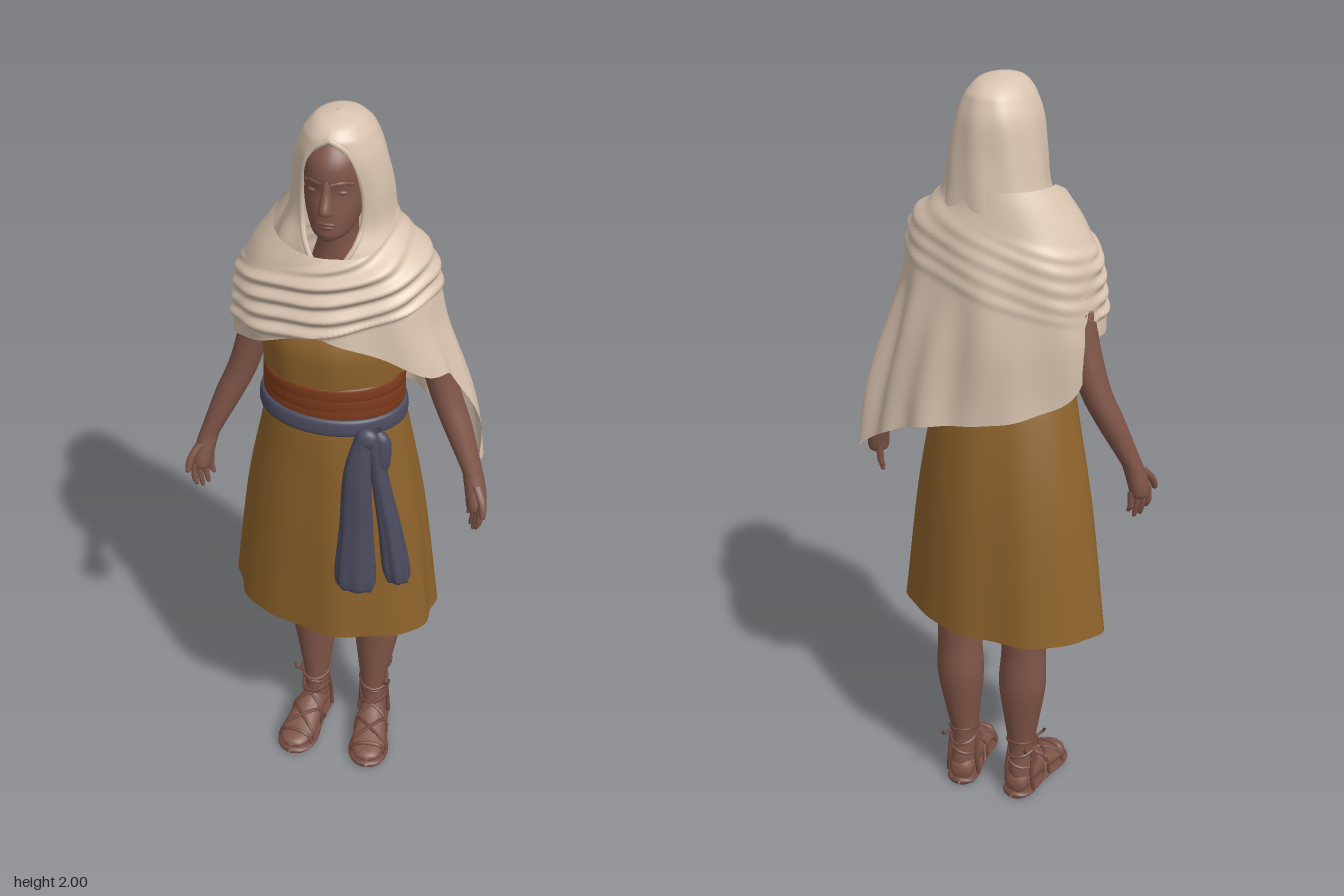
import * as THREE from 'three';

const mat = (name, color, side = THREE.FrontSide) => {
  const m = new THREE.MeshStandardMaterial({ color, side });
  m.name = name;
  return m;
};

// Grid surface from fn(u, v); v runs from top to bottom, u counter-clockwise seen from above
function grid(nu, nv, closed, fn) {
  const pos = [], idx = [], w = closed ? nu : nu + 1;
  for (let j = 0; j <= nv; j++)
    for (let i = 0; i < w; i++) pos.push(...fn(i / nu, j / nv));
  for (let j = 0; j < nv; j++)
    for (let i = 0; i < nu; i++) {
      const k = (i + 1) % w, a = j * w + i, b = j * w + k, c = a + w, d = b + w;
      idx.push(a, c, b, b, c, d);
    }
  const g = new THREE.BufferGeometry();
  g.setAttribute('position', new THREE.Float32BufferAttribute(pos, 3));
  g.setIndex(idx);
  g.computeVertexNormals();
  return g;
}

// Smooth lookup in rows of numbers keyed by rising positions
function sampler(keys, rows) {
  const it = new THREE.CubicInterpolant(keys, rows.flat(), rows[0].length, new Float32Array(rows[0].length));
  return t => Array.from(it.evaluate(t));
}

// Rows: [y, centre x, centre z, radius x, radius z], listed top to bottom; skew tilts the oval
function loft(rows, { nu = 20, nv = rows.length * 4, fold = () => 0, skew = 0 } = {}) {
  const s = sampler(rows.map((_, i) => i), rows);
  return grid(nu, nv, true, (u, v) => {
    const [y, cx, cz, rx, rz] = s(v * (rows.length - 1)), a = u * Math.PI * 2, f = 1 + fold(a, v);
    return [cx + Math.sin(a) * rx * f, y, cz + Math.cos(a - skew * v) * rz * f];
  });
}

const V = (x, y, z) => new THREE.Vector3(x, y, z);
const tube = (pts, r, closed = false, n = 24) =>
  new THREE.TubeGeometry(new THREE.CatmullRomCurve3(pts, closed), n, r, 6, closed);
const { smoothstep } = THREE.MathUtils;

export function createModel() {
  const model = new THREE.Group();
  model.name = 'robedWoman';
  const skin = mat('skin', 0x7f5548), cream = mat('cream cloth', 0xd8c3af, THREE.DoubleSide);
  const ochre = mat('ochre cloth', 0x8d622b, THREE.DoubleSide), red = mat('rust sash', 0x7c3a1b);
  const blue = mat('slate cloth', 0x4c4c60, THREE.DoubleSide), leather = mat('sandal leather', 0x72493e);
  const add = (name, geo, m, parent = model) => {
    const mesh = new THREE.Mesh(geo, m);
    mesh.name = name;
    parent.add(mesh);
    return mesh;
  };
  const blob = (name, x, y, z, sx, sy, sz, m, parent) => {
    const b = add(name, new THREE.SphereGeometry(1, 16, 12), m, parent);
    b.position.set(x, y, z);
    b.scale.set(sx, sy, sz);
  };

  // Dress
  add('skirt', loft([
    [1.25, -0.005, 0.025, 0.175, 0.125], [1.15, -0.005, 0.012, 0.193, 0.148],
    [0.9, -0.01, -0.005, 0.24, 0.174], [0.552, -0.012, -0.014, 0.283, 0.192],
  ], { nu: 72, nv: 16, skew: 0.13, fold: (a, v) => v * (0.024 * Math.sin(7 * a + 0.6) + 0.014 * Math.sin(11 * a)) }), ochre);
  add('bodice', loft([
    [1.56, 0, 0, 0.15, 0.1], [1.46, -0.003, 0.018, 0.172, 0.14],
    [1.38, -0.005, 0.02, 0.178, 0.145], [1.25, -0.005, 0.025, 0.172, 0.128],
  ], { nu: 48, fold: a => 0.014 * Math.sin(9 * a) }), ochre);
  // Waist sash in overlapping wraps, and the belt under it
  [[1.325, 0.021, 0.02], [1.296, 0.024, -0.03], [1.268, 0.02, 0.02]].forEach(([y, h, tilt], i) => {
    const g = loft([[h, 0, 0, 0.17, 0.132], [h * 0.8, 0, 0, 0.177, 0.14], [0, 0, 0, 0.18, 0.142],
      [-h * 0.8, 0, 0, 0.178, 0.14], [-h, 0, 0, 0.17, 0.132]], { nu: 40 });
    g.rotateZ(tilt);
    g.translate(-0.005, y, 0.025);
    add('sashWrap' + i, g, red);
  });
  const belt = loft([[0.025, 0, 0, 0.174, 0.132], [0.02, 0, 0, 0.185, 0.147], [0, 0, 0, 0.189, 0.151],
    [-0.02, 0, 0, 0.188, 0.149], [-0.026, 0, 0, 0.176, 0.135]], { nu: 40 });
  belt.rotateZ(-0.03);
  belt.translate(-0.006, 1.237, 0.026);
  add('belt', belt, blue);
  blob('beltKnot', 0.115, 1.225, 0.176, 0.03, 0.03, 0.02, blue);
  const pleat = (a, v) => 0.1 * v * Math.sin(7 * a);
  add('beltLoop', loft([[1.25, 0.138, 0.165, 0.012, 0.012], [1.22, 0.148, 0.165, 0.024, 0.02],
    [1.15, 0.15, 0.162, 0.021, 0.022], [1.1, 0.146, 0.16, 0.006, 0.006]]), blue);
  add('beltTailLong', loft([[1.235, 0.108, 0.178, 0.022, 0.015], [1.12, 0.094, 0.186, 0.035, 0.02],
    [0.95, 0.094, 0.19, 0.043, 0.02], [0.768, 0.093, 0.193, 0.051, 0.027], [0.758, 0.093, 0.193, 0.002, 0.002]],
    { nu: 48, fold: pleat }), blue);
  add('beltTailSide', loft([[1.235, 0.128, 0.172, 0.02, 0.018], [1.1, 0.147, 0.165, 0.022, 0.025],
    [0.95, 0.172, 0.158, 0.029, 0.029], [0.785, 0.194, 0.152, 0.034, 0.031], [0.775, 0.194, 0.152, 0.002, 0.002]],
    { nu: 48, fold: pleat }), blue);

  // Head
  const head = new THREE.Group();
  head.name = 'head';
  model.add(head);
  add('face', loft([
    [1.972, 0, 0.005, 0.002, 0.002], [1.96, 0, 0.015, 0.042, 0.06], [1.925, 0, 0.02, 0.068, 0.09],
    [1.885, 0, 0.025, 0.074, 0.096], [1.845, 0, 0.025, 0.074, 0.09], [1.8, 0, 0.03, 0.07, 0.091],
    [1.762, 0, 0.04, 0.06, 0.084], [1.735, 0, 0.055, 0.045, 0.066], [1.718, 0, 0.055, 0.022, 0.037],
    [1.715, 0, 0.05, 0.002, 0.002],
  ], { nu: 32 }), skin, head);
  add('neck', loft([[1.78, 0, 0.01, 0.05, 0.05], [1.68, 0, 0, 0.05, 0.052], [1.55, 0, -0.01, 0.09, 0.07]]), skin, head);
  add('nose', loft([[1.882, 0, 0.113, 0.008, 0.008], [1.845, 0, 0.117, 0.012, 0.015],
    [1.812, 0, 0.123, 0.017, 0.025], [1.8, 0, 0.118, 0.019, 0.018], [1.794, 0, 0.112, 0.002, 0.002]]), skin, head);
  blob('upperLip', 0, 1.774, 0.119, 0.022, 0.005, 0.009, leather, head);
  blob('lowerLip', 0, 1.764, 0.117, 0.019, 0.006, 0.009, leather, head);
  blob('chin', 0, 1.737, 0.103, 0.024, 0.017, 0.018, skin, head);
  for (const s of [1, -1]) {
    blob('eyelid', s * 0.031, 1.849, 0.102, 0.015, 0.006, 0.008, skin, head);
    add('brow', tube([V(s * 0.01, 1.871, 0.116), V(s * 0.032, 1.875, 0.108), V(s * 0.054, 1.866, 0.087)], 0.006), skin, head);
  }

  // Hood, open round the face; last column is the half angle of the opening
  const hoodRows = [[2, 0, 0, 0.002, 0.002, 0], [1.988, 0, -0.005, 0.05, 0.065, 0], [1.966, 0, -0.01, 0.074, 0.096, 0],
    [1.945, 0, -0.013, 0.087, 0.106, 0.4], [1.9, 0, -0.018, 0.104, 0.116, 0.6], [1.82, 0.002, -0.028, 0.12, 0.114, 0.66],
    [1.74, 0, -0.034, 0.13, 0.118, 0.58], [1.68, 0, -0.027, 0.155, 0.13, 0.3], [1.62, 0, -0.02, 0.18, 0.135, 0.05]];
  const hood = sampler(hoodRows.map((_, i) => i), hoodRows);
  const hoodPoint = (u, v) => {
    const [y, cx, cz, rx, rz, e] = hood(v * 8);
    const open = Math.max(e, 0), a = open + u * (Math.PI * 2 - 2 * open);
    const f = 1 + 0.025 * v * Math.sin(9 * a + y * 10);
    return [cx + Math.sin(a) * rx * f, y, cz + Math.cos(a) * rz * f];
  };
  add('hood', grid(56, 40, false, hoodPoint), cream);
  for (const u of [0, 1])
    add('hoodHem', tube(Array.from({ length: 11 }, (_, i) => V(...hoodPoint(u, 0.26 + i * 0.07))), 0.007), cream);

  // Shawl: body profile by height, hem height by angle (front 0, left 90, back 180)
  const bodyRows = [[1.77, -0.003, -0.03, 0.129, 0.116], [1.71, -0.012, -0.022, 0.162, 0.134], [1.65, 0.003, -0.014, 0.217, 0.155],
    [1.58, -0.003, -0.014, 0.243, 0.168], [1.48, 0, -0.014, 0.259, 0.18], [1.38, 0.012, -0.018, 0.28, 0.185],
    [1.2, 0.047, -0.022, 0.303, 0.187], [1.0, 0.066, -0.026, 0.322, 0.197]];
  const body = sampler(bodyRows.map(r => -r[0]), bodyRows);
  const hemRows = [[0, 1.49], [30, 1.44], [55, 1.37], [75, 1.35], [88, 1.25], [98, 1.12], [108, 1.02], [132, 1.07],
    [160, 1.14], [180, 1.16], [220, 1.2], [245, 1.25], [262, 1.37], [275, 1.38], [310, 1.42], [340, 1.47], [360, 1.49]];
  const hem = sampler(hemRows.map(r => r[0]), hemRows.map(r => [r[1]]));
  add('shawl', grid(128, 90, true, (u, v) => {
    const a = u * Math.PI * 2, top = 1.75 - 0.065 * Math.max(0, Math.cos(a));
    const y = top + v * (hem(u * 360)[0] - top), [, cx, cz, rx, rz] = body(-y);
    // Gathered wrap winding from the left shoulder down to the right arm
    const d = y - 1.58 - 0.07 * Math.sin(a);
    const band = smoothstep(d, -0.09, -0.075) * (1 - smoothstep(d, 0.07, 0.1));
    const ridge = Math.sin(d * 150 + 1.8 * Math.sin(2 * a) + Math.sin(3 * a + 1));
    const wrap = band * (0.62 + 0.38 * Math.cos(a)) * (0.01 + 0.007 * ridge);
    // Loose hanging folds, deepest over the left arm
    const drape = Math.max(0, Math.cos(a - 2.1)) * smoothstep(1.6 - y, 0, 0.35);
    const loose = smoothstep(1.75 - y, 0, 0.3) * 0.005 * Math.sin(8 * a + y * 9);
    const f = wrap + loose + 0.01 * drape * Math.sin(15 * a + 2 * y);
    return [cx + Math.sin(a) * (rx + f), y, cz + Math.cos(a) * (rz + f)];
  }), cream);

  // Limbs, built for the left and mirrored for the right
  for (const s of [1, -1]) {
    const side = s > 0 ? 'left' : 'right';
    const limb = (name, rows, m = skin, opt) => add(side + name, loft(rows.map(([y, x, ...r]) => [y, s * x, ...r]), opt), m);
    limb('Arm', [[1.58, 0.18, -0.03, 0.03, 0.03], [1.5, 0.206, -0.04, 0.042, 0.046], [1.38, 0.227, -0.047, 0.041, 0.046],
      [1.25, 0.262, -0.045, 0.04, 0.043], [1.16, 0.3, -0.03, 0.038, 0.039], [1.05, 0.347, -0.004, 0.027, 0.03],
      [1.02, 0.357, 0.004, 0.027, 0.03], [0.97, 0.368, 0.016, 0.027, 0.035], [0.945, 0.369, 0.02, 0.023, 0.03],
      [0.94, 0.369, 0.02, 0.002, 0.002]]);
    for (let i = 0; i < 4; i++) {
      const x = 0.354 + i * 0.01, z = -0.008 + i * 0.018, low = [0.9, 0.88, 0.88, 0.895][i];
      limb('Finger', [[0.965, x, z, 0.009, 0.01], [0.92, x, z + 0.004, 0.0085, 0.009],
        [low + 0.005, x - 0.006, z + 0.006, 0.006, 0.006], [low, x - 0.006, z + 0.006, 0.001, 0.001]], skin, { nu: 8 });
    }
    limb('Thumb', [[1.02, 0.367, 0.024, 0.012, 0.014], [0.985, 0.388, 0.05, 0.011, 0.013],
      [0.95, 0.395, 0.066, 0.008, 0.009], [0.944, 0.395, 0.067, 0.001, 0.001]], skin, { nu: 10 });
    limb('Leg', [[1.0, 0.09, -0.03, 0.08, 0.09], [0.75, 0.094, -0.05, 0.072, 0.085], [0.56, 0.094, -0.075, 0.06, 0.074],
      [0.46, 0.093, -0.08, 0.06, 0.065], [0.36, 0.091, -0.084, 0.064, 0.063], [0.25, 0.088, -0.078, 0.049, 0.053],
      [0.15, 0.085, -0.072, 0.035, 0.043], [0.07, 0.087, -0.075, 0.036, 0.046], [0.02, 0.087, -0.075, 0.03, 0.04]]);

    // Foot and sandal, lofted from toe to heel and turned slightly outwards
    const foot = new THREE.Group();
    foot.name = side + 'Foot';
    foot.position.set(s * 0.087, 0, -0.075);
    foot.rotation.y = s * 0.13;
    model.add(foot);
    const along = (name, rows, m, nu) => add(name, loft(rows, { nu }).rotateX(Math.PI / 2), m, foot);
    along('footBody', [[0.208, 0, -0.03, 0.004, 0.004], [0.195, 0, -0.032, 0.032, 0.014], [0.15, 0, -0.035, 0.048, 0.022],
      [0.09, 0, -0.045, 0.045, 0.034], [0.035, 0, -0.055, 0.038, 0.047], [-0.02, 0, -0.05, 0.036, 0.042],
      [-0.045, 0, -0.04, 0.026, 0.028], [-0.052, 0, -0.04, 0.003, 0.003]], skin, 20);
    along('sole', [[0.216, 0, -0.011, 0.003, 0.004], [0.2, 0, -0.011, 0.038, 0.011], [0.15, 0, -0.011, 0.058, 0.011],
      [0.06, 0, -0.011, 0.046, 0.011], [-0.02, 0, -0.011, 0.044, 0.011], [-0.05, 0, -0.011, 0.028, 0.011],
      [-0.06, 0, -0.011, 0.003, 0.004]], leather, 24);
    const strap = (pts, r = 0.005) => add('strap', tube(pts.map(p => V(...p)), r), leather, foot);
    for (const d of [1, -1]) {
      strap([[d * 0.054, 0.018, 0.15], [d * 0.036, 0.053, 0.14], [0, 0.071, 0.115], [-d * 0.034, 0.07, 0.08], [-d * 0.046, 0.018, 0.05]]);
      strap([[d * 0.047, 0.018, 0.08], [d * 0.036, 0.075, 0.068], [0, 0.1, 0.05], [-d * 0.034, 0.11, 0.02], [-d * 0.036, 0.12, -0.02]]);
      strap([[d * 0.044, 0.018, -0.01], [d * 0.04, 0.07, -0.015], [d * 0.036, 0.15, 0]], 0.006);
    }
    strap([[0.05, 0.02, 0.165], [0.03, 0.05, 0.165], [-0.03, 0.05, 0.165], [-0.05, 0.02, 0.165]], 0.006);
    [[0.105, 0.037, 0.046], [0.14, 0.036, 0.044], [0.17, 0.039, 0.046]].forEach(([y, rx, rz], i) => {
      const ring = Array.from({ length: 12 }, (_, k) => {
        const a = k / 6 * Math.PI;
        return V(Math.sin(a) * rx, y + 0.012 * Math.sin(a + i * 2.2), Math.cos(a) * rz + 0.003);
      });
      add('ankleStrap', tube(ring, 0.0045, true, 36), leather, foot);
    });
    strap([[s * 0.03, 0.17, 0.03], [s * 0.045, 0.185, 0.045], [s * 0.05, 0.2, 0.04]], 0.004);
    strap([[s * 0.03, 0.17, -0.035], [s * 0.042, 0.17, -0.055], [s * 0.045, 0.19, -0.068]], 0.004);
  }
  return model;
}
